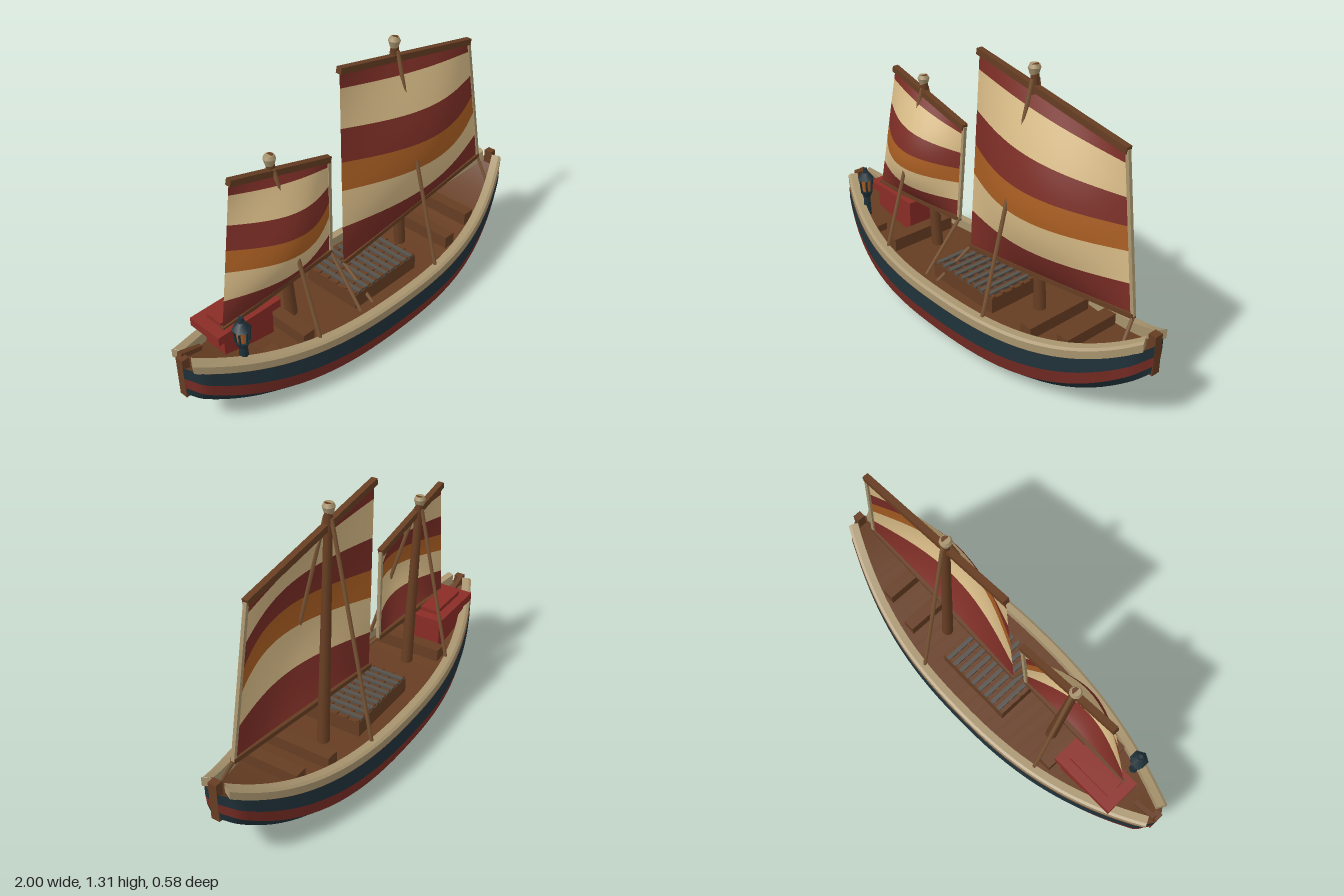
import * as THREE from 'three';
import { mergeGeometries } from 'three/addons/utils/BufferGeometryUtils.js';

const mat = (name, color, side = THREE.FrontSide) => {
  const m = new THREE.MeshStandardMaterial({ color, side });
  m.name = name;
  return m;
};
const M = {
  cream: mat('sail cream', 0xd6b985, THREE.DoubleSide),
  red: mat('dull red', 0x7a2d25, THREE.DoubleSide),
  orange: mat('amber', 0xa85d22, THREE.DoubleSide),
  teal: mat('dark teal', 0x20323a),
  green: mat('bottom green', 0x2a3320),
  wood: mat('brown wood', 0x663d22),
  pale: mat('pale wood', 0xa8946e),
  cabin: mat('cabin red', 0x8a2c25),
  rope: mat('rope brown', 0x7a5535),
  slat: mat('grey slats', 0x55504a),
};
const V = (x, y, z) => new THREE.Vector3(x, y, z);
const lerp = THREE.MathUtils.lerp;

// Surface through fn(u, v) -> Vector3, facing du x dv
function sheet(nu, nv, fn) {
  const pos = [], idx = [];
  for (let i = 0; i <= nu; i++)
    for (let j = 0; j <= nv; j++) pos.push(...fn(i / nu, j / nv).toArray());
  for (let i = 0; i < nu; i++)
    for (let j = 0; j < nv; j++) {
      const a = i * (nv + 1) + j, b = a + nv + 1;
      idx.push(a, b, b + 1, a, b + 1, a + 1);
    }
  const g = new THREE.BufferGeometry();
  g.setAttribute('position', new THREE.Float32BufferAttribute(pos, 3));
  g.setIndex(idx);
  g.computeVertexNormals();
  return g;
}

// Hull lines along x
const halfWidth = x => 0.29 * (1 - 0.78 * Math.abs(x) ** 2.3);
const sheer = x => 0.215 + (x > 0 ? 0.2 * x ** 3.5 : 0.145 * (-x) ** 3);
const keel = x => (x > 0 ? 0.285 : 0.21) * Math.abs(x) ** 3.3;
const pinch = x => Math.min(1, 0.3 + 0.7 * (1 - Math.abs(x)) / 0.04);
const station = u => Math.sin((u - 0.5) * Math.PI);

export function createModel() {
  const root = new THREE.Group();
  const add = (name, geo, m, parent = root) => {
    const mesh = new THREE.Mesh(geo, m);
    mesh.name = name;
    parent.add(mesh);
    return mesh;
  };
  const box = (name, x0, x1, y0, y1, z0, z1, m) => {
    const b = add(name, new THREE.BoxGeometry(x1 - x0, y1 - y0, z1 - z0), m);
    b.position.set((x0 + x1) / 2, (y0 + y1) / 2, (z0 + z1) / 2);
    return b;
  };
  const beam = (name, a, b, r0, r1, sides, m, parent = root) => {
    const g = new THREE.CylinderGeometry(r1, r0, a.distanceTo(b), sides);
    if (sides === 4) g.rotateY(Math.PI / 4);
    const s = add(name, sides === 4 ? g.toNonIndexed() : g, m, parent);
    if (sides === 4) s.geometry.computeVertexNormals();
    s.position.copy(a).lerp(b, 0.5);
    s.quaternion.setFromUnitVectors(V(0, 1, 0), b.clone().sub(a).normalize());
    return s;
  };
  const bothSides = (name, geo, m) => {
    add(name, geo, m);
    add(name, geo, m).scale.z = -1;
  };

  // Hull planking: four bands between five section points (width, height)
  const section = [[0, 0], [0.69, 0.04], [0.93, 0.28], [1, 0.62], [1, 1]];
  [['bottom', M.green], ['lowerBand', M.teal], ['redBand', M.red], ['upperBand', M.teal]].forEach(([name, m], k) => {
    const [p, q] = [section[k], section[k + 1]];
    bothSides(name, sheet(48, 1, (u, v) => {
      const x = station(u);
      return V(x, lerp(keel(x), sheer(x), lerp(p[1], q[1], v)), halfWidth(x) * pinch(x) * lerp(p[0], q[0], v));
    }), m);
  });
  add('deck', sheet(48, 1, (u, v) => {
    const x = station(u);
    return V(x, sheer(x) - 0.004, halfWidth(x) * pinch(x) * (1 - 2 * v));
  }), M.wood);

  // Rails: square section swept along the sheer
  const railPoint = (x, n, h) => {
    const d = (halfWidth(x + 0.001) - halfWidth(x - 0.001)) / 0.002, l = Math.hypot(1, d);
    return V(x - n * d / l, sheer(x) + h, halfWidth(x) + n / l);
  };
  const corners = [[-0.004, -0.003], [-0.004, 0.034], [-0.016, 0.042], [-0.05, 0.042], [-0.05, -0.008]];
  const railX = u => station(u) * 0.985;
  const railParts = corners.map((p, k) => {
    const q = corners[(k + 1) % corners.length];
    return sheet(48, 1, (u, v) => railPoint(railX(u), lerp(p[0], q[0], v), lerp(p[1], q[1], v)));
  });
  railParts.push(
    sheet(1, 1, (u, v) => railPoint(0.985, lerp(-0.004, -0.05, u), lerp(-0.003, 0.04, v))),
    sheet(1, 1, (u, v) => railPoint(-0.985, lerp(-0.05, -0.004, u), lerp(-0.003, 0.04, v))));
  bothSides('rail', mergeGeometries(railParts), M.pale);

  // Stem, stern post and tiller
  box('stem', 0.965, 1, 0.275, 0.455, -0.02, 0.02, M.wood);
  box('sternPost', -1, -0.965, 0.2, 0.395, -0.02, 0.02, M.wood);
  beam('tiller', V(-0.985, 0.395, -0.015), V(-0.88, 0.365, -0.02), 0.018, 0.014, 4, M.wood);

  // Thwarts, locker and hatch grating
  for (const [x, w] of [[-0.47, 0.17], [0.46, 0.17], [0.64, 0.14]])
    box('thwart', x - 0.03, x + 0.03, sheer(x) - 0.01, sheer(x) + 0.055, -w, w, M.wood);
  box('locker', -0.67, -0.61, 0.23, 0.28, 0.1, 0.15, M.wood);
  box('hatch', -0.17, 0.23, 0.2, 0.285, -0.15, 0.15, M.wood);
  for (let i = 0; i < 9; i++) {
    const x = -0.15 + i * 0.0425;
    box('gratingSlat', x, x + 0.02, 0.28, 0.298, -0.15, 0.15, M.slat);
  }
  for (let i = 0; i < 6; i++) {
    const z = -0.145 + i * 0.0545;
    box('gratingBar', -0.17, 0.23, 0.28, 0.293, z, z + 0.017, M.wood);
  }

  // Stern cabin
  box('cabin', -0.79, -0.53, 0.22, 0.37, -0.125, 0.015, M.cabin);
  box('cabinRoof', -0.83, -0.5, 0.368, 0.408, -0.145, 0.035, M.cabin);
  box('cabinHatch', -0.78, -0.55, 0.405, 0.428, -0.1, -0.01, M.cabin);

  // Lantern
  const lantern = new THREE.Group();
  lantern.name = 'lantern';
  lantern.position.set(-0.765, 0, 0.105);
  root.add(lantern);
  for (const [name, y0, y1, r0, r1, m] of [
    ['lanternPost', 0.24, 0.37, 0.022, 0.018, M.teal], ['lanternBase', 0.37, 0.4, 0.02, 0.032, M.teal],
    ['lanternGlass', 0.4, 0.465, 0.022, 0.026, M.orange], ['lanternRoof', 0.465, 0.5, 0.042, 0.016, M.teal],
    ['lanternCap', 0.5, 0.522, 0.014, 0.01, M.teal]])
    beam(name, V(0, y0, 0), V(0, y1, 0), r0, r1, 6, m, lantern);
  for (let i = 0; i < 6; i++) {
    const c = Math.cos(i * Math.PI / 3), s = Math.sin(i * Math.PI / 3);
    beam('lanternBar', V(0.027 * s, 0.395, 0.027 * c), V(0.033 * s, 0.468, 0.033 * c), 0.005, 0.005, 4, M.teal, lantern);
  }

  // Sails with masts, yards and shrouds; corners run bl, br, tr, tl
  const stripes = [[0, 0.2, 'red'], [0.2, 0.4, 'cream'], [0.4, 0.55, 'orange'],
    [0.55, 0.72, 'red'], [0.72, 0.915, 'cream'], [0.915, 1, 'red']];
  const rig = (name, [bl, br, tr, tl], belly, foot, head, shroudX, shroudZ) => {
    const g = new THREE.Group();
    g.name = name;
    root.add(g);
    const at = (u, v) => {
      const p = bl.clone().lerp(br, u).lerp(tl.clone().lerp(tr, u), v);
      p.z += belly * Math.sin(Math.PI * u) * Math.sin(Math.PI * v ** 0.9);
      return p;
    };
    for (const [v0, v1, c] of stripes)
      add('sailStripe', sheet(20, 5, (u, v) => at(u, lerp(v0, v1, v))), M[c], g);
    beam('yard', at(-0.005, 1), at(1.005, 1), 0.02, 0.02, 4, M.wood, g);
    beam('boom', at(-0.005, 0), at(1.005, 0), 0.015, 0.015, 4, M.wood, g);
    beam('luffRope', at(1, 0), at(1, 1), 0.011, 0.011, 4, M.pale, g);
    beam('mast', foot, head, 0.028, 0.017, 12, M.wood, g);
    const cap = head.clone();
    beam('mastCap', cap.clone().setY(cap.y - 0.045), cap.clone().setY(cap.y - 0.015), 0.018, 0.027, 10, M.pale, g);
    beam('mastCapTop', cap.clone().setY(cap.y - 0.015), cap, 0.027, 0.02, 10, M.pale, g);
    for (const s of [1, -1])
      beam('shroud', V(head.x + 0.005, head.y - 0.06, head.z + s * 0.015), V(shroudX, 0.25, s * shroudZ), 0.009, 0.009, 6, M.rope, g);
  };
  rig('mainRig', [V(-0.09, 0.345, 0), V(0.87, 0.475, 0), V(0.76, 1.125, -0.025), V(-0.065, 1.275, -0.035)],
    0.135, V(0.335, 0.2, -0.035), V(0.26, 1.31, -0.035), 0.268, 0.24);
  rig('mizzenRig', [V(-0.78, 0.405, 0), V(-0.17, 0.455, 0), V(-0.15, 0.91, -0.02), V(-0.66, 1.035, -0.03)],
    0.12, V(-0.38, 0.2, -0.035), V(-0.453, 1.06, -0.035), -0.445, 0.215);

  // Sheets from the boom ends down to the deck
  for (const [a, b] of [[V(-0.17, 0.455, 0), V(-0.178, 0.23, 0.19)], [V(-0.09, 0.345, 0), V(-0.1, 0.23, 0.19)],
    [V(0.87, 0.475, 0), V(0.875, 0.34, 0.07)]])
    beam('sheetRope', a, b, 0.008, 0.008, 6, M.rope);
  return root;
}
